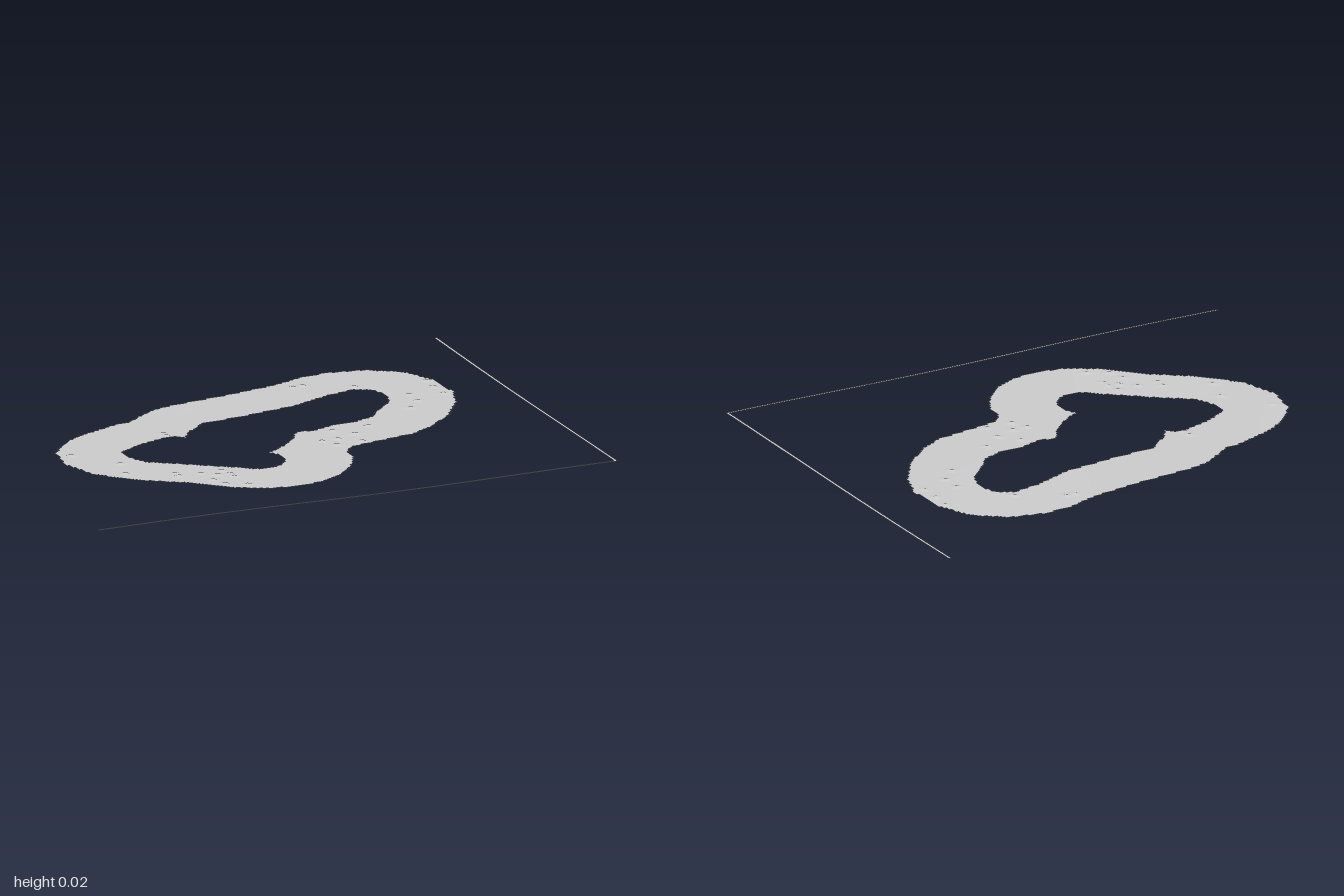
import * as THREE from 'three';

const CELL = 0.01;

// outlines of the terrain band as x, z pairs
const OUTER = [
  -0.79, 0.01, -0.765, -0.13, -0.7, -0.21, -0.63, -0.265, -0.555, -0.3, -0.44, -0.345, -0.38, -0.355, -0.32, -0.4,
  -0.245, -0.45, -0.155, -0.47, 0.085, -0.5, 0.245, -0.53, 0.38, -0.578, 0.485, -0.588, 0.62, -0.56,
  0.73, -0.48, 0.785, -0.36, 0.797, -0.19, 0.755, -0.07, 0.665, 0.06, 0.565, 0.15, 0.47, 0.205,
  0.3, 0.235, 0.2, 0.257, 0.175, 0.3, 0.165, 0.375, 0.11, 0.47, 0.03, 0.54, -0.05, 0.58,
  -0.15, 0.595, -0.26, 0.572, -0.35, 0.52, -0.5, 0.38, -0.635, 0.285, -0.745, 0.16,
];
const INNER = [
  -0.555, 0.01, -0.55, -0.04, -0.45, -0.095, -0.34, -0.13, -0.295, -0.125, -0.275, -0.1, -0.245, -0.15,
  -0.155, -0.225, 0.03, -0.245, 0.22, -0.275, 0.38, -0.337, 0.485, -0.36, 0.54, -0.33, 0.565, -0.257,
  0.54, -0.175, 0.47, -0.107, 0.417, -0.043, 0.325, -0.005, 0.245, -0.005, 0.165, 0.02, 0.11, 0.01,
  0.085, 0.027, 0.07, 0.065, 0.005, 0.13, -0.05, 0.17, -0.085, 0.187, -0.06, 0.23, -0.06, 0.285,
  -0.1, 0.34, -0.15, 0.355, -0.19, 0.348, -0.26, 0.29, -0.395, 0.187, -0.52, 0.095,
];
// small steep mounds scattered over the ground, x, z pairs
const MOUNDS = [
  -0.32, 0.31, -0.4, 0.31, -0.48, 0.27, -0.48, 0.305, -0.39, 0.4, -0.35, 0.35, -0.305, 0.36, -0.305, 0.39,
  -0.37, 0.46, -0.3, 0.5, -0.61, 0.085, -0.64, 0.2, -0.73, -0.075, -0.33, -0.18, -0.33, -0.15,
  0.305, -0.48, 0.34, -0.48, 0.5, -0.39, 0.76, -0.35, 0.755, -0.27, 0.755, -0.19, 0.64, -0.145,
  0.58, -0.08, 0.64, -0.225, 0.2, 0.15, 0.14, 0.15, 0.17, 0.21, 0.27, 0.21, 0.22, 0.055, 0.36, 0.055, 0.28, 0.12,
];

function inside(p, x, z) {
  let hit = false;
  for (let i = 0, j = p.length - 2; i < p.length; j = i, i += 2) {
    if ((p[i + 1] > z) !== (p[j + 1] > z) &&
      x < ((p[j] - p[i]) * (z - p[i + 1])) / (p[j + 1] - p[i + 1]) + p[i]) hit = !hit;
  }
  return hit;
}

// gently tilted ground with slight waves
function ground(x, z) {
  return 0.0165 + 0.008 * x + 0.005 * z + 0.0015 * Math.sin(5 * x + 2 * z) * Math.cos(4 * z);
}

function height(x, z) {
  let y = ground(x, z);
  for (let i = 0; i < MOUNDS.length; i += 2) {
    const d = Math.hypot(x - MOUNDS[i], z - MOUNDS[i + 1]);
    if (d < 0.018) y += 0.006 * (1 - d / 0.018);
  }
  return y;
}

// grid surface keeping only the cells accepted by the test
function gridSurface(keep, heightAt) {
  const positions = [], index = [], ids = new Map();
  const vertex = (i, k) => {
    const key = i + ',' + k;
    if (!ids.has(key)) {
      ids.set(key, positions.length / 3);
      positions.push(i * CELL, heightAt(i * CELL, k * CELL), k * CELL);
    }
    return ids.get(key);
  };
  for (let i = -100; i < 100; i++) {
    for (let k = -80; k < 80; k++) {
      if (!keep((i + 0.5) * CELL, (k + 0.5) * CELL)) continue;
      const a = vertex(i, k), b = vertex(i, k + 1), c = vertex(i + 1, k + 1), d = vertex(i + 1, k);
      index.push(a, b, c, a, c, d);
    }
  }
  const g = new THREE.BufferGeometry();
  g.setAttribute('position', new THREE.Float32BufferAttribute(positions, 3));
  g.setIndex(index);
  g.computeVertexNormals();
  return g;
}

export function createModel() {
  const group = new THREE.Group();
  group.name = 'terrainRing';
  const material = new THREE.MeshStandardMaterial({ color: 0xcccccc, side: THREE.DoubleSide });
  const add = (name, geometry) => {
    const mesh = new THREE.Mesh(geometry, material);
    mesh.name = name;
    group.add(mesh);
  };

  // closed band of ground around an open middle
  add('terrainBand', gridSurface((x, z) => inside(OUTER, x, z) && !inside(INNER, x, z), height));

  // thin strips along two edges of the terrain tile
  const edgeHeight = (x, z) => 0.019 + 0.003 * Math.sin(4 * x - 3 * z);
  add('frontEdgeStrip', gridSurface((x, z) => z > 0.78 && z < 0.79, edgeHeight));
  add('leftEdgeStrip', gridSurface((x, z) => x > 0.99 && z < 0.79, edgeHeight));

  return group;
}
